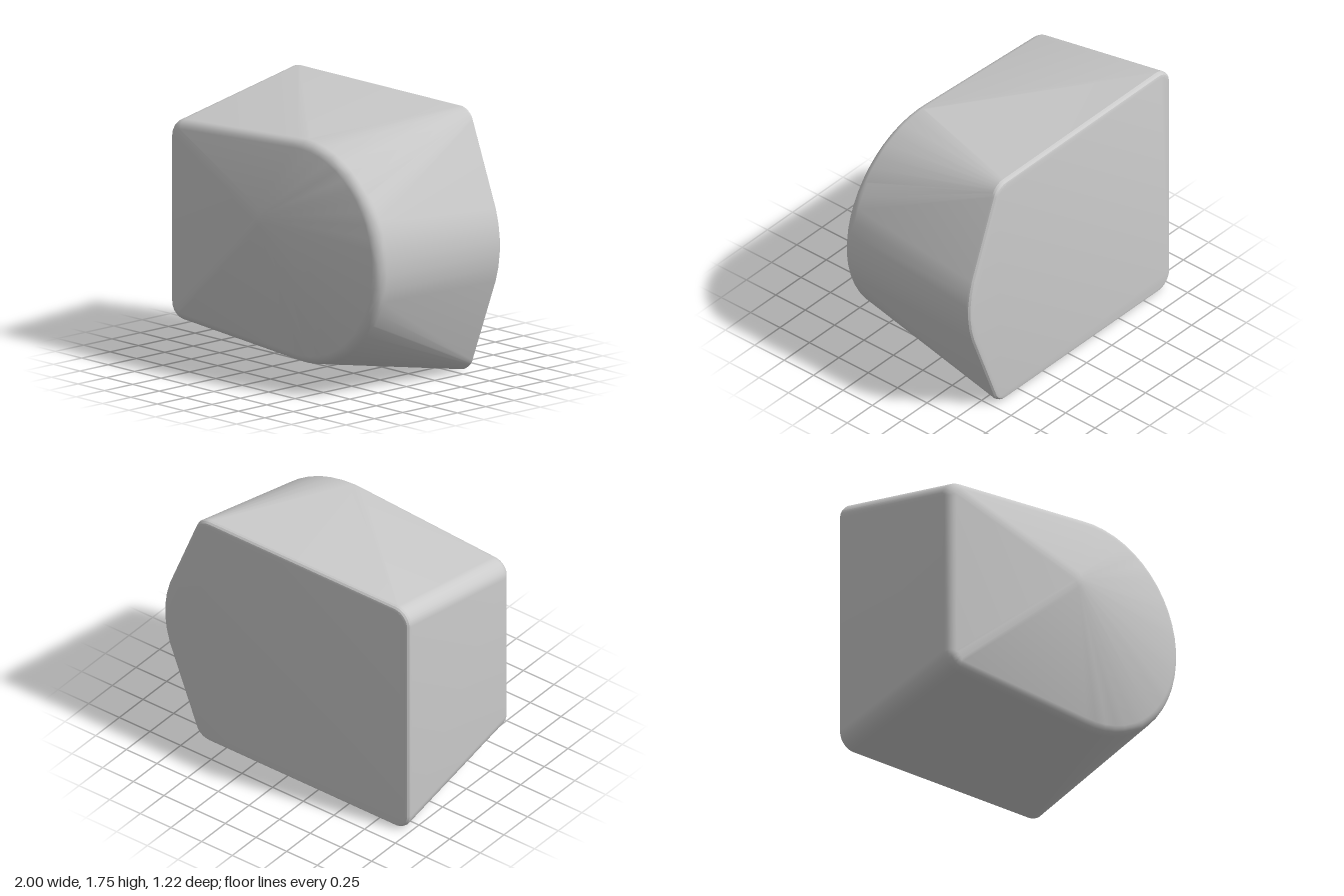
import * as THREE from 'three';
import { ConvexGeometry } from 'three/addons/geometries/ConvexGeometry.js';
import { toCreasedNormals } from 'three/addons/utils/BufferGeometryUtils.js';

// Points of a disc arc whose rim is rolled over with bevel b towards direction dir (+1 front, -1 back)
function bevelledArc(points, [cx, cy, r, from, to], z, b, dir, steps) {
  const count = Math.max(6, Math.round((to - from) / 7));
  for (let s = 0; s <= steps; s++) {
    const t = (s / steps) * Math.PI / 2;
    const radius = r - b + b * Math.cos(t);
    for (let i = 0; i <= count; i++) {
      const a = THREE.MathUtils.degToRad(from + (to - from) * i / count);
      points.push(new THREE.Vector3(
        cx + radius * Math.cos(a), cy + radius * Math.sin(a), z + dir * b * Math.sin(t)));
    }
  }
}

export function createModel() {
  const group = new THREE.Group();
  const points = [];

  // Back outline: four rounded corners and a bulging right side [x, y, radius, from, to]
  const back = [
    [-0.88, 0.12, 0.12, 180, 270],
    [-0.88, 1.63, 0.12, 90, 180],
    [0.63, 1.63, 0.12, 18, 90],
    [0.25, 0.88, 0.75, -26, 26],
    [0.63, 0.12, 0.12, -90, -18],
  ];
  back.forEach((arc) => bevelledArc(points, arc, -0.58, 0.03, -1, 3));

  // Front outline: two small left corners and one large round end
  const front = [
    [-0.88, 0.34, 0.12, 180, 268],
    [-0.88, 1.44, 0.12, 92, 180],
    [0.25, 0.885, 0.745, -96, 96],
  ];
  front.forEach((arc) => bevelledArc(points, arc, 0.4, 0.08, 1, 6));

  // Blunt peak of the front face: a shallow spherical cap
  points.push(new THREE.Vector3(0, 1.07, 0.61));
  for (let ring = 1; ring <= 4; ring++) {
    const tilt = ring * 0.09;
    for (let i = 0; i < 20; i++) {
      const a = (i / 20) * Math.PI * 2;
      points.push(new THREE.Vector3(
        0.3 * Math.sin(tilt) * Math.cos(a),
        1.07 + 0.3 * Math.sin(tilt) * Math.sin(a),
        0.31 + 0.3 * Math.cos(tilt)));
    }
  }

  // Body: the convex skin stretched over both outlines and the peak
  const body = new THREE.Mesh(
    toCreasedNormals(new ConvexGeometry(points), 0.35),
    new THREE.MeshStandardMaterial({ color: 0xcccccc }));
  body.name = 'body';
  group.add(body);
  return group;
}
